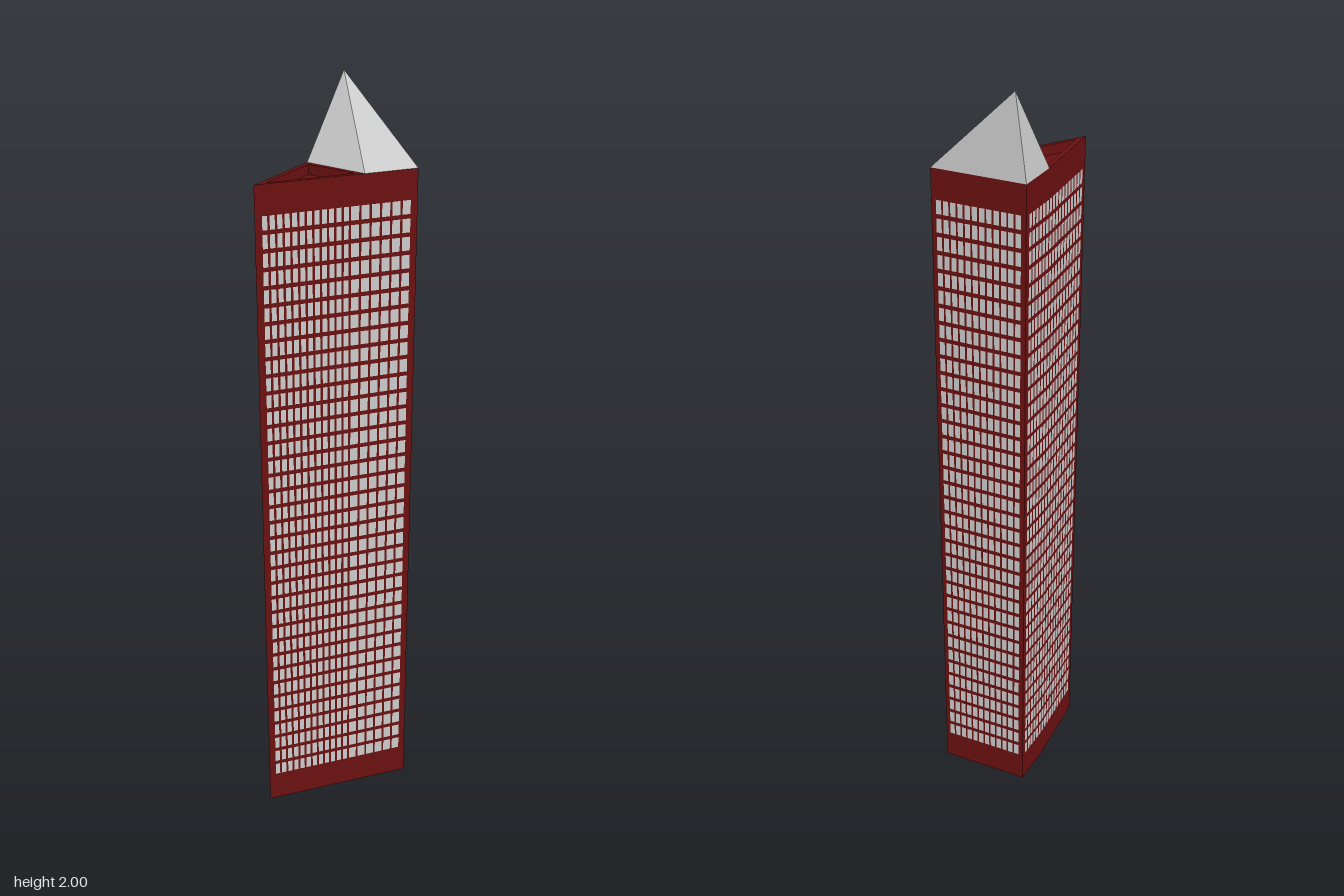
import * as THREE from 'three';
import { mergeGeometries } from 'three/addons/utils/BufferGeometryUtils.js';

// Plan corners as [x, z]
const A = [-0.1, -0.16], B = [0.135, -0.141], C = [0.045, -0.041], M = [0.02, -0.014];
const D = [-0.137, 0.158], E = [-0.118, -0.055];
const ROOF = 1.795, DECK = 1.77;

const toPoints = (pts) => pts.map(([x, z]) => new THREE.Vector2(x, -z));

// Upright prism over a plan outline
function prism(pts, y0, y1, hole) {
  const shape = new THREE.Shape(toPoints(pts));
  if (hole) shape.holes.push(new THREE.Path(toPoints(hole)));
  const geo = new THREE.ExtrudeGeometry(shape, { depth: y1 - y0, bevelEnabled: false });
  return geo.rotateX(-Math.PI / 2).translate(0, y0, 0);
}

// Grid of panes on a wall running from p to q, left to right as seen from outside
function windowGrid(p, q, cols, padStart, padEnd, fill) {
  const rows = 36, bottom = 0.08, top = 1.725, lift = 0.001;
  const dx = q[0] - p[0], dz = q[1] - p[1], length = Math.hypot(dx, dz);
  const ux = dx / length, uz = dz / length;
  const stepX = (length - padStart - padEnd) / cols, stepY = (top - bottom) / rows;
  const panes = [];
  for (let c = 0; c < cols; c++) {
    const s = padStart + (c + 0.5) * stepX;
    for (let r = 0; r < rows; r++) {
      panes.push(new THREE.PlaneGeometry(stepX * fill, stepY * 0.76)
        .rotateY(Math.atan2(-uz, ux))
        .translate(p[0] + ux * s - uz * lift, bottom + (r + 0.5) * stepY, p[1] + uz * s + ux * lift));
    }
  }
  return mergeGeometries(panes);
}

// Four-sided spire with an off-centre tip
function spire(base, tip) {
  const pos = [];
  base.forEach(([x, z], i) => {
    const [nx, nz] = base[(i + 1) % base.length];
    pos.push(nx, ROOF, nz, x, ROOF, z, ...tip);
  });
  const geo = new THREE.BufferGeometry();
  geo.setAttribute('position', new THREE.Float32BufferAttribute(pos, 3));
  geo.computeVertexNormals();
  return geo;
}

export function createModel() {
  const group = new THREE.Group();
  const red = new THREE.MeshStandardMaterial({ color: 0x6b1010 });
  const grey = new THREE.MeshStandardMaterial({ color: 0xcccccc, side: THREE.DoubleSide });
  const add = (name, geo, mat) => {
    const mesh = new THREE.Mesh(geo, mat);
    mesh.name = name;
    group.add(mesh);
  };

  // Wedge-shaped tower with a shallow walled roof deck
  const plan = [D, B, A, E];
  add('tower', prism(plan, 0, DECK), red);
  add('parapet', prism(plan, DECK, ROOF, [[-0.107, -0.043], [0.022, -0.033], [-0.121, 0.127]]), red);

  // Window panes on every wall
  add('frontWindows', windowGrid(D, M, 12, 0.015, 0, 0.68), grey);
  add('rightWindows', windowGrid(M, B, 6, 0, 0.015, 0.78), grey);
  add('backWindows', windowGrid(B, A, 12, 0.01, 0.01, 0.74), grey);
  add('leftRearWindows', windowGrid(A, E, 6, 0.01, 0, 0.7), grey);
  add('leftFrontWindows', windowGrid(E, D, 11, 0, 0.015, 0.7), grey);

  // Pointed cap over the rear of the roof
  add('spire', spire([A, B, C, E], [-0.07, 2, -0.15]), grey);
  return group;
}
